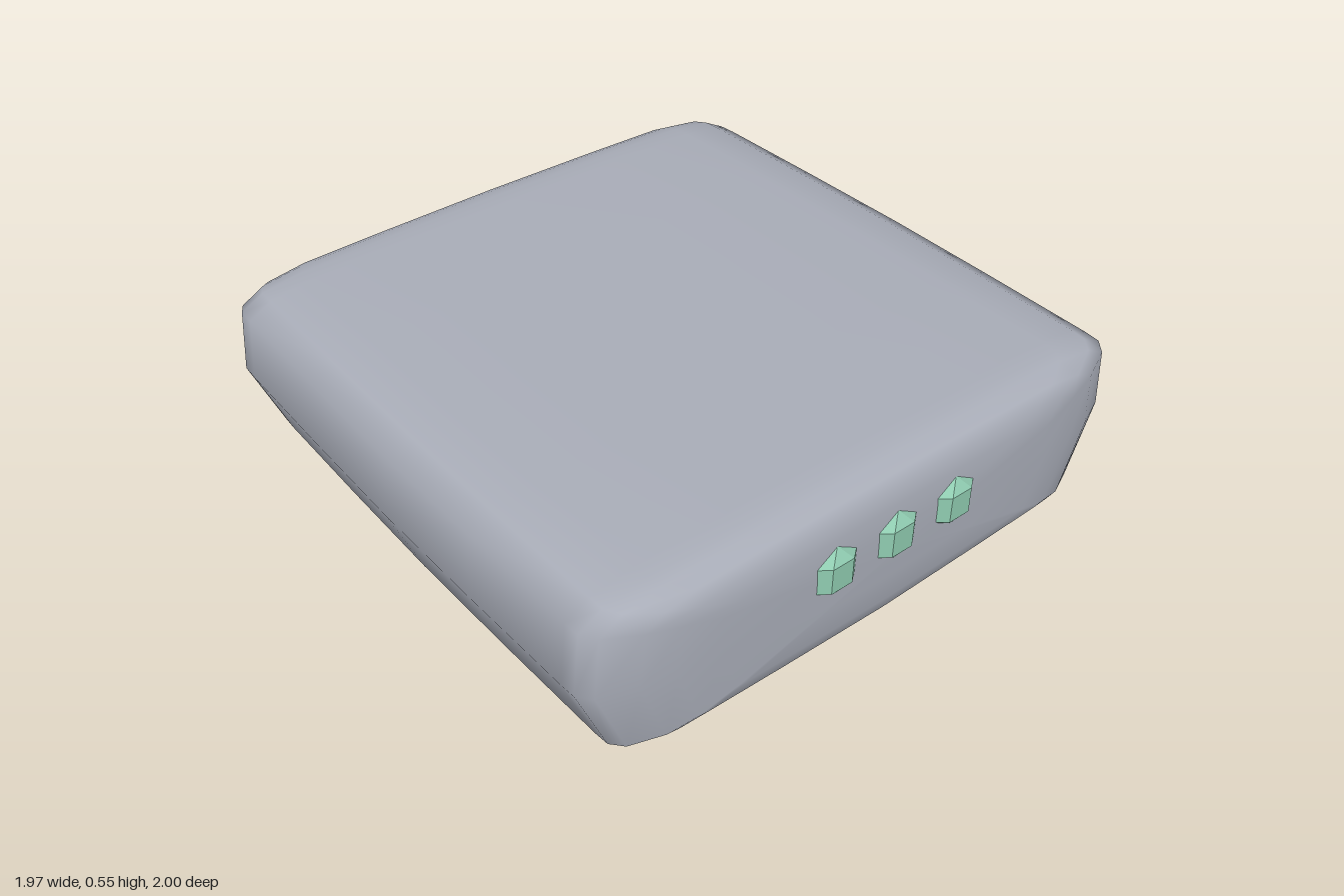
import * as THREE from 'three';

// Right half of the body cross-section, bottom to top
const HALF = [
  [0, 0.005], [0.5, 0.017], [0.84, 0.028], [0.888, 0.035], [0.985, 0.28],
  [0.965, 0.48], [0.89, 0.52], [0.75, 0.54], [0.45, 0.546], [0, 0.55],
];
const MID_Y = 0.28;
const FULL_W = 0.985;

// Stations along z, back to front: z, half width, height scale
const STATIONS = [
  [-1.0, 0, 0], [-0.997, 0.3, 0.25], [-0.985, 0.7, 0.62], [-0.96, 0.82, 0.82],
  [-0.93, 0.91, 0.92], [-0.9, 0.945, 0.97], [-0.86, 0.968, 0.99], [-0.8, 0.971, 1],
  [-0.4, 0.98, 1], [0, 0.985, 1], [0.4, 0.98, 1], [0.8, 0.971, 1],
  [0.85, 0.968, 0.99], [0.89, 0.935, 0.97], [0.935, 0.83, 0.9],
  [0.955, 0.73, 0.8], [0.97, 0.6, 0.62], [0.975, 0.3, 0.3], [0.976, 0, 0],
];

function bodyGeometry() {
  const left = HALF.slice(1, -1).reverse().map(([x, y]) => [-x, y]);
  const ring = [...HALF, ...left];
  const n = ring.length;
  const positions = [];
  const indices = [];
  for (const [z, w, h] of STATIONS) {
    for (const [x, y] of ring) {
      positions.push((x * w) / FULL_W, MID_Y + (y - MID_Y) * h, z);
    }
  }
  for (let i = 0; i < STATIONS.length - 1; i++) {
    for (let j = 0; j < n; j++) {
      const a = i * n + j;
      const b = i * n + ((j + 1) % n);
      if (i > 0) indices.push(a, b, a + n);
      if (i < STATIONS.length - 2) indices.push(b, b + n, a + n);
      else indices.push(a, b, a + n);
    }
  }
  // Back fan: each quad keeps only the triangle touching the first full ring
  const geometry = new THREE.BufferGeometry();
  geometry.setAttribute('position', new THREE.Float32BufferAttribute(positions, 3));
  geometry.setIndex(indices);
  geometry.computeVertexNormals();
  return geometry;
}

export function createModel() {
  const model = new THREE.Group();
  model.name = 'roundedDevice';

  const shellGrey = new THREE.MeshStandardMaterial({ color: 0xa9adb8 });
  shellGrey.name = 'shell grey';
  const lightGreen = new THREE.MeshStandardMaterial({ color: 0x8fcbb0, flatShading: true });
  lightGreen.name = 'indicator green';

  // Soft rectangular shell
  const shell = new THREE.Mesh(bodyGeometry(), shellGrey);
  shell.name = 'shell';
  model.add(shell);

  // Three faceted indicator lights on the front
  const lightShape = new THREE.SphereGeometry(0.085, 6, 3);
  for (const x of [-0.22, 0, 0.22]) {
    const light = new THREE.Mesh(lightShape, lightGreen);
    light.name = 'indicatorLight';
    light.position.set(x, 0.34, 0.97);
    light.scale.z = 0.45;
    model.add(light);
  }
  return model;
}
